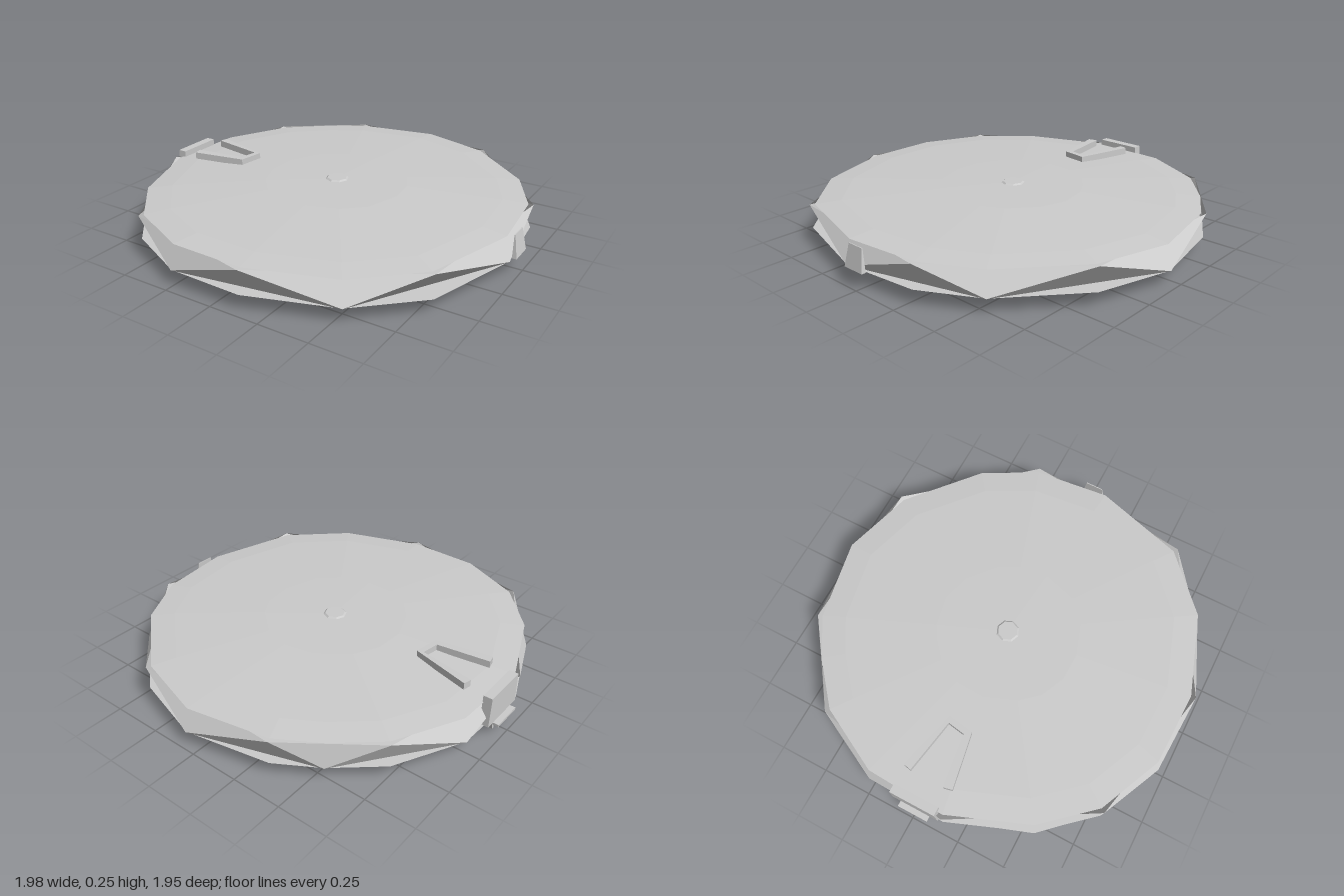
import * as THREE from 'three';

const material = new THREE.MeshStandardMaterial({ color: 0xcccccc, flatShading: true, side: THREE.DoubleSide });

// Rim corners [x, z]: even entries lie on the lower edge, odd ones on the upper edge
const rim = [
  [0.97, 0.1], [0.83, 0.57], [0.55, 0.83], [0.13, 0.97], [-0.25, 0.96], [-0.58, 0.81],
  [-0.8, 0.56], [-0.96, 0.15], [-0.94, -0.27], [-0.77, -0.6], [-0.56, -0.78], [-0.36, -0.9],
  [0.06, -0.98], [0.43, -0.87], [0.78, -0.57], [0.93, -0.29],
];
const LOW = 0.08, HIGH = 0.2;

function addMesh(parent, name, geometry) {
  const mesh = new THREE.Mesh(geometry, material);
  mesh.name = name;
  parent.add(mesh);
  return mesh;
}

function fromTriangles(points) {
  const geometry = new THREE.BufferGeometry().setFromPoints(points);
  geometry.computeVertexNormals();
  return geometry;
}

// Zigzag wall joining the lower and upper corners
function wallGeometry() {
  const at = (i) => {
    const [x, z] = rim[i % rim.length];
    return new THREE.Vector3(x, i % 2 ? HIGH : LOW, z);
  };
  const points = [];
  for (let i = 0; i < rim.length; i += 2) {
    points.push(at(i), at(i + 1), at(i + 2), at(i + 1), at(i + 3), at(i + 2));
  }
  return fromTriangles(points);
}

// Faceted cap: scaled copies of the rim [scale, y], outermost first, closing at the middle
function capGeometry(rings, up) {
  const at = (r, i) => {
    const [x, z] = rim[i % rim.length];
    return new THREE.Vector3(x * rings[r][0], rings[r][1], z * rings[r][0]);
  };
  const points = [];
  const push = (a, b, c) => (up ? points.push(a, b, c) : points.push(a, c, b));
  for (let r = 0; r < rings.length - 1; r++) {
    for (let i = 0; i < rim.length; i++) {
      push(at(r, i), at(r + 1, i), at(r, i + 1));
      if (rings[r + 1][0] > 0) push(at(r + 1, i), at(r + 1, i + 1), at(r, i + 1));
    }
  }
  return fromTriangles(points);
}

// Box whose vertices are moved by a rule
function shapedBox(w, h, d, rule) {
  const geometry = new THREE.BoxGeometry(w, h, d);
  const p = geometry.attributes.position;
  const v = new THREE.Vector3();
  for (let i = 0; i < p.count; i++) {
    rule(v.fromBufferAttribute(p, i));
    p.setXYZ(i, v.x, v.y, v.z);
  }
  geometry.computeVertexNormals();
  return geometry;
}

export function createModel() {
  const model = new THREE.Group();
  model.name = 'disc';

  // Main body
  addMesh(model, 'rimWall', wallGeometry());
  addMesh(model, 'dome', capGeometry([[0.975, HIGH], [0.85, 0.211], [0.37, 0.231], [0, 0.236]], true));
  addMesh(model, 'underside', capGeometry([[0.995, LOW], [0, LOW]], false));

  // Small bosses at the centre of both faces
  const boss = addMesh(model, 'topBoss', new THREE.CylinderGeometry(0.05, 0.065, 0.012, 8));
  boss.position.y = 0.236;
  const pip = addMesh(model, 'bottomBoss', new THREE.ConeGeometry(0.035, 0.015, 3));
  pip.rotation.x = Math.PI;
  pip.position.y = 0.0725;

  // Raised U-shaped bracket on the dome
  const outline = [
    [-0.82, -0.12], [-0.52, -0.04], [-0.54, 0.09], [-0.82, 0.14],
    [-0.83, 0.095], [-0.565, 0.06], [-0.55, -0.03], [-0.83, -0.08],
  ];
  const shape = new THREE.Shape(outline.map(([x, z]) => new THREE.Vector2(x, z)));
  const bracket = new THREE.ExtrudeGeometry(shape, { depth: 0.035, bevelEnabled: false });
  bracket.rotateX(Math.PI / 2);
  addMesh(model, 'bracket', bracket).position.y = 0.253;

  // Panel across the rim above the keel
  const panel = addMesh(model, 'rimPanel', shapedBox(0.045, 0.155, 0.25, (v) => {
    if (v.y > 0) v.z *= 0.95;
  }));
  panel.position.set(-0.94, 0.155, 0);

  // Keel under the body with its mounting plate
  const plate = addMesh(model, 'keelPlate', shapedBox(0.66, 0.012, 0.16, (v) => {
    if (v.x > 0) v.z *= 0.75;
  }));
  plate.position.set(-0.66, 0.07, 0);
  for (const side of [-1, 1]) {
    const rail = addMesh(model, 'keelSide', shapedBox(0.61, 0.066, 0.012, (v) => {
      if (v.y < 0) v.z -= side * 0.016;
    }));
    rail.position.set(-0.638, 0.033, side * 0.045);
  }
  const floor = addMesh(model, 'keelFloor', new THREE.BoxGeometry(0.6, 0.01, 0.05));
  floor.position.set(-0.638, 0.012, 0);

  // Wedge tab on the opposite rim
  const tab = addMesh(model, 'rimTab', shapedBox(0.022, 0.11, 0.12, (v) => {
    if (v.y > 0) {
      v.x = v.x * 0.2 - 0.012;
      v.z *= 0.75;
    }
  }));
  tab.position.set(0.982, 0.145, 0.02);

  return model;
}
